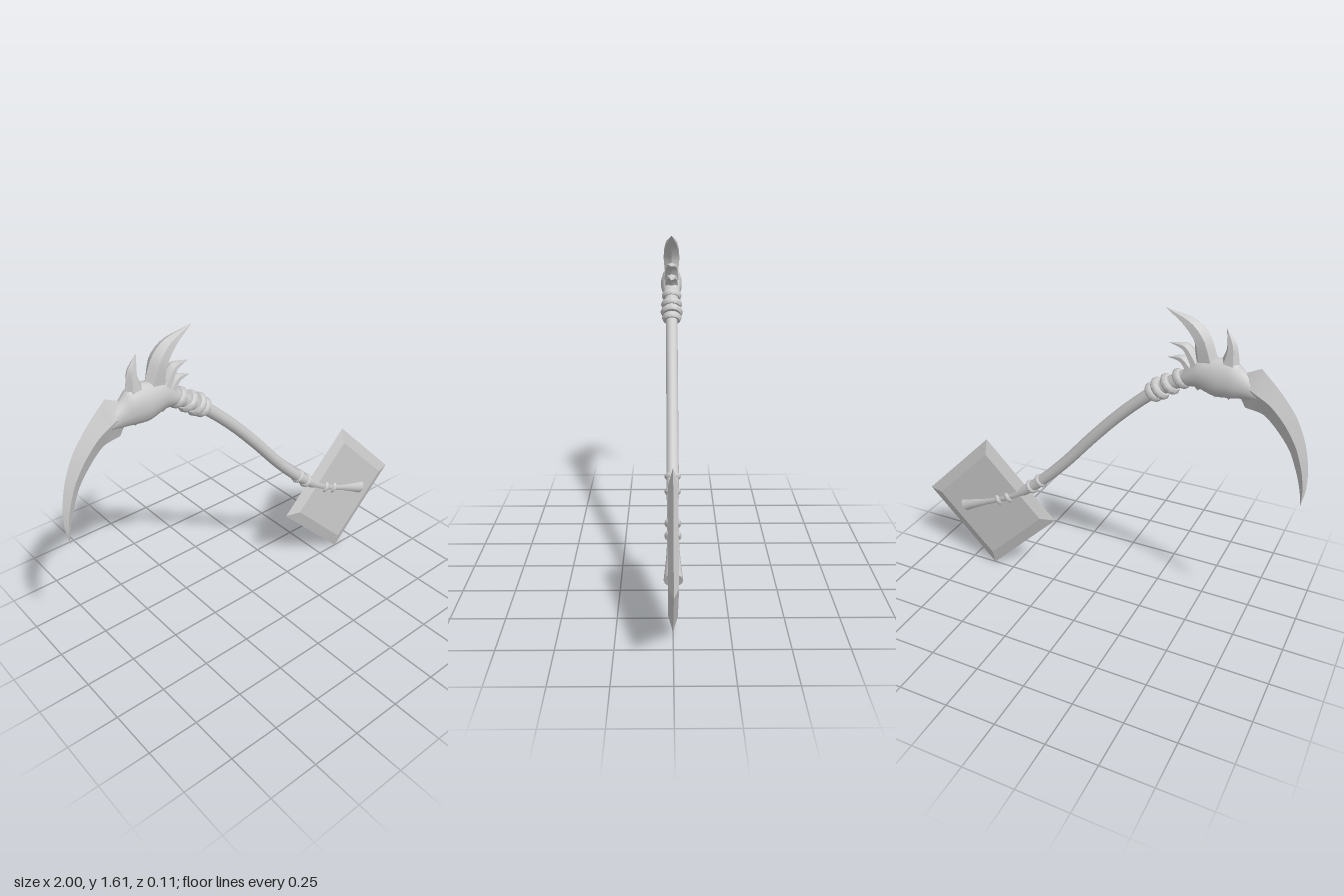
import * as THREE from 'three';
import { toCreasedNormals } from 'three/addons/utils/BufferGeometryUtils.js';

const material = new THREE.MeshStandardMaterial({ color: 0xcccccc });

function add(group, name, geometry, mat = material) {
  const mesh = new THREE.Mesh(geometry, mat);
  mesh.name = name;
  group.add(mesh);
  return mesh;
}

// Skins cross-sections. Each row is [ax, ay, bx, by, t]: two opposite edge points
// in the xy plane and the half thickness along z.
function loft(rows, sides, crease = 0.6) {
  const [p, q] = rows;
  const dx = q[0] + q[2] - p[0] - p[2], dy = q[1] + q[3] - p[1] - p[3];
  const sign = dx * (p[1] - p[3]) - dy * (p[0] - p[2]) < 0 ? -1 : 1;
  const positions = [], index = [];
  for (const [ax, ay, bx, by, t] of rows) {
    for (let j = 0; j < sides; j++) {
      const a = (j / sides) * Math.PI * 2, c = sign * Math.cos(a) / 2;
      positions.push((ax + bx) / 2 + (ax - bx) * c, (ay + by) / 2 + (ay - by) * c, t * Math.sin(a));
    }
  }
  for (let i = 0; i < rows.length - 1; i++) {
    for (let j = 0; j < sides; j++) {
      const k = (j + 1) % sides, a = i * sides, b = a + sides;
      index.push(a + j, a + k, b + j, a + k, b + k, b + j);
    }
  }
  // end caps
  const last = (rows.length - 1) * sides;
  for (let j = 1; j < sides - 1; j++) {
    index.push(0, j + 1, j, last, last + j, last + j + 1);
  }
  const geometry = new THREE.BufferGeometry();
  geometry.setAttribute('position', new THREE.Float32BufferAttribute(positions, 3));
  geometry.setIndex(index);
  return toCreasedNormals(geometry, crease);
}

// Resamples rows along smooth curves through both edges and the thickness.
function smooth(rows, steps) {
  const curve = (f) => new THREE.CatmullRomCurve3(rows.map(f), false, 'catmullrom', 0.4);
  const a = curve((r) => new THREE.Vector3(r[0], r[1], r[4]));
  const b = curve((r) => new THREE.Vector3(r[2], r[3], 0));
  const out = [];
  for (let i = 0; i <= steps; i++) {
    const p = a.getPoint(i / steps), q = b.getPoint(i / steps);
    out.push([p.x, p.y, q.x, q.y, Math.max(p.z, 0)]);
  }
  return out;
}

// Round bar along a path of [x, y, radius].
function bar(path, steps, sides) {
  const curve = new THREE.CatmullRomCurve3(path.map(([x, y, r]) => new THREE.Vector3(x, y, r)));
  const rows = [];
  for (let i = 0; i <= steps; i++) {
    const p = curve.getPoint(i / steps), t = curve.getTangent(i / steps);
    const l = Math.hypot(t.x, t.y), nx = (-t.y / l) * p.z, ny = (t.x / l) * p.z;
    rows.push([p.x + nx, p.y + ny, p.x - nx, p.y - ny, p.z]);
  }
  return loft(rows, sides, 0.9);
}

// Rounded collar around the shaft.
function collar(group, name, x, y, angle, radius, height) {
  const profile = [[0.02, -0.5], [0.82, -0.5], [1, -0.15], [1, 0.15], [0.82, 0.5], [0.02, 0.5]]
    .map(([r, h]) => new THREE.Vector2(r * radius, h * height));
  const mesh = add(group, name, toCreasedNormals(new THREE.LatheGeometry(profile, 12), 0.8));
  mesh.position.set(x, y, 0);
  mesh.rotation.z = angle;
}

export function createModel() {
  const model = new THREE.Group();
  model.name = 'scythe';

  // Curved shaft with a flared butt
  add(model, 'shaft', bar([
    [-0.45, 1.33, 0.034], [-0.36, 1.27, 0.034], [-0.26, 1.195, 0.029], [-0.125, 1.07, 0.028],
    [0.01, 0.925, 0.028], [0.17, 0.74, 0.028], [0.32, 0.59, 0.028], [0.42, 0.51, 0.026],
    [0.52, 0.45, 0.025], [0.64, 0.397, 0.028], [0.775, 0.34, 0.04],
  ], 50, 12));

  // Grip collars
  for (const [x, y, angle] of [[0.305, 0.605, 0.8], [0.36, 0.555, 0.85], [0.495, 0.463, 1.05], [0.555, 0.433, 1.12]]) {
    collar(model, 'gripCollar', x, y, angle, 0.037, 0.024);
  }

  // Heavier neck collars below the head
  for (const [x, y, angle, r] of [[-0.41, 1.305, 0.8, 0.05], [-0.36, 1.27, 0.75, 0.053], [-0.315, 1.24, 0.85, 0.055], [-0.285, 1.215, 0.75, 0.048]]) {
    collar(model, 'neckCollar', x, y, angle, r, 0.034);
  }

  // Bulbous head tapering over the blade root
  add(model, 'head', loft(smooth([
    [-0.80, 1.30, -0.79, 1.27, 0.022],
    [-0.69, 1.385, -0.685, 1.265, 0.036],
    [-0.645, 1.425, -0.63, 1.258, 0.05],
    [-0.57, 1.43, -0.565, 1.255, 0.055],
    [-0.49, 1.42, -0.49, 1.28, 0.05],
    [-0.43, 1.36, -0.445, 1.28, 0.042],
    [-0.40, 1.325, -0.415, 1.285, 0.032],
  ], 24), 14, 0.8));

  // Sickle blade with a central ridge
  add(model, 'blade', loft([
    [-0.68, 1.37, -0.66, 1.27, 0.03],
    [-0.70, 1.388, -0.68, 1.262, 0.031],
    ...smooth([
      [-0.754, 1.414, -0.70, 1.227, 0.032],
      [-0.845, 1.324, -0.78, 1.211, 0.028],
      [-0.92, 1.227, -0.845, 1.152, 0.024],
      [-0.968, 1.12, -0.909, 1.067, 0.02],
      [-0.994, 1.008, -0.952, 0.96, 0.015],
      [-0.999, 0.906, -0.973, 0.885, 0.01],
      [-0.984, 0.816, -0.984, 0.816, 0],
    ], 24),
  ], 4));

  // Ridged horns on top of the head
  const horns = {
    frontSpike: [
      [-0.663, 1.40, -0.572, 1.40, 0.035], [-0.642, 1.50, -0.60, 1.473, 0.024], [-0.594, 1.562, -0.594, 1.562, 0]],
    largeHorn: [
      [-0.575, 1.40, -0.465, 1.39, 0.036], [-0.53, 1.516, -0.46, 1.479, 0.046],
      [-0.46, 1.58, -0.406, 1.548, 0.032], [-0.322, 1.612, -0.322, 1.612, 0]],
    upperSmallHorn: [
      [-0.497, 1.40, -0.46, 1.355, 0.042], [-0.433, 1.468, -0.417, 1.436, 0.03], [-0.348, 1.46, -0.348, 1.46, 0]],
    lowerSmallHorn: [
      [-0.475, 1.37, -0.443, 1.325, 0.04], [-0.417, 1.414, -0.406, 1.38, 0.028], [-0.342, 1.393, -0.342, 1.393, 0]],
  };
  for (const [name, rows] of Object.entries(horns)) add(model, name, loft(smooth(rows, 10), 6));

  // Small barbs under the head
  for (const [x, y] of [[-0.625, 1.247], [-0.565, 1.247], [-0.487, 1.262]]) {
    add(model, 'barb', loft([
      [x - 0.035, y + 0.04, x + 0.035, y + 0.04, 0.03], [x, y, x, y, 0]], 6));
  }

  // Square plate set on its corner, with bevelled rim
  const rim = [[0, -0.021], [0.305, -0.021], [0.384, 0], [0.305, 0.021], [0, 0.021]]
    .map(([r, h]) => new THREE.Vector2(r, h));
  const flat = material.clone();
  flat.flatShading = true;
  const plate = add(model, 'plate', new THREE.LatheGeometry(rim, 4), flat);
  plate.rotation.x = Math.PI / 2;
  plate.position.set(0.615, 0.384, 0);

  return model;
}
